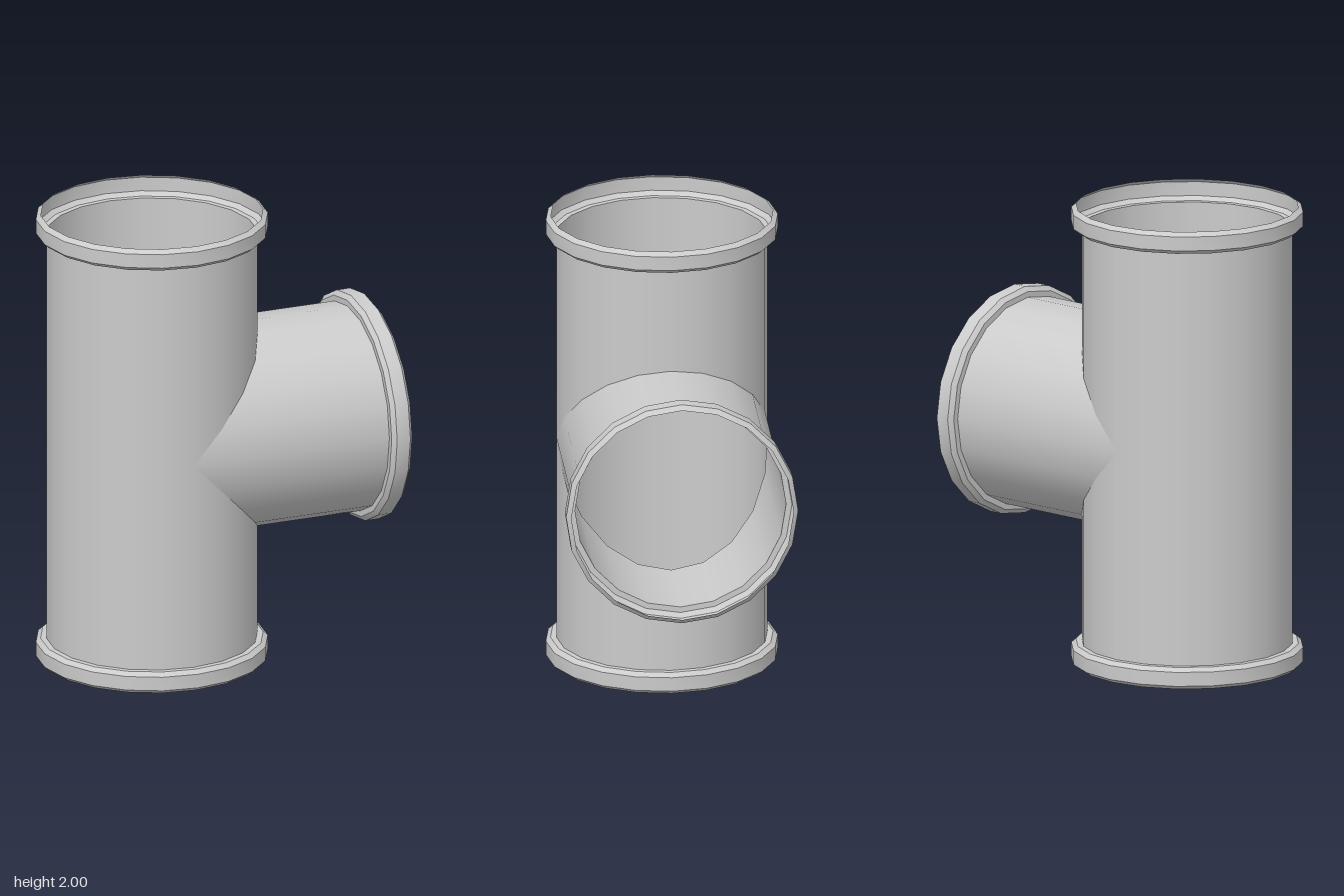
import * as THREE from 'three';
import { toCreasedNormals } from 'three/addons/utils/BufferGeometryUtils.js';

const R = 0.45;       // pipe radius
const LENGTH = 1;     // each arm, from the crossing point to its open end
const COLLAR = 0.095; // collar height
const SIDES = 20;

// Open pipe along +y whose lower end is cut by the mitre rule cut(x)
function armGeometry(cut) {
  const geo = new THREE.CylinderGeometry(R, R, 1, SIDES, 1, true);
  const pos = geo.attributes.position;
  for (let i = 0; i < pos.count; i++) {
    pos.setY(i, pos.getY(i) > 0 ? LENGTH - COLLAR : cut(pos.getX(i)));
  }
  return geo;
}

// Thin flared socket collar with chamfered edges
function collarGeometry() {
  const base = LENGTH - COLLAR;
  const profile = [
    [R, base], [0.475, base], [0.495, base + 0.017],
    [0.495, LENGTH - 0.017], [0.474, LENGTH],
  ].map(([r, y]) => new THREE.Vector2(r, y));
  return toCreasedNormals(new THREE.LatheGeometry(profile, SIDES), 0.5);
}

export function createModel() {
  const model = new THREE.Group();
  model.name = 'pipeTee';
  const material = new THREE.MeshStandardMaterial({ color: 0xcccccc, side: THREE.DoubleSide });

  const mainArm = armGeometry((x) => Math.max(0, x)); // leaves the opening on the +x side
  const branchArm = armGeometry(Math.abs);            // saddle cut that meets the main pipe
  const collar = collarGeometry();

  // Three arms meeting at the crossing point
  const arms = [
    ['upper', mainArm, 0, 0],
    ['lower', mainArm, Math.PI, 0],
    ['branch', branchArm, 0, -Math.PI / 2],
  ];
  for (const [name, geo, rx, rz] of arms) {
    const arm = new THREE.Group();
    arm.name = name + 'Arm';
    const pipe = new THREE.Mesh(geo, material);
    pipe.name = name + 'Pipe';
    const ring = new THREE.Mesh(collar, material);
    ring.name = name + 'Collar';
    arm.add(pipe, ring);
    arm.rotation.set(rx, 0, rz);
    arm.position.set(-0.2525, 1, 0);
    model.add(arm);
  }
  return model;
}
